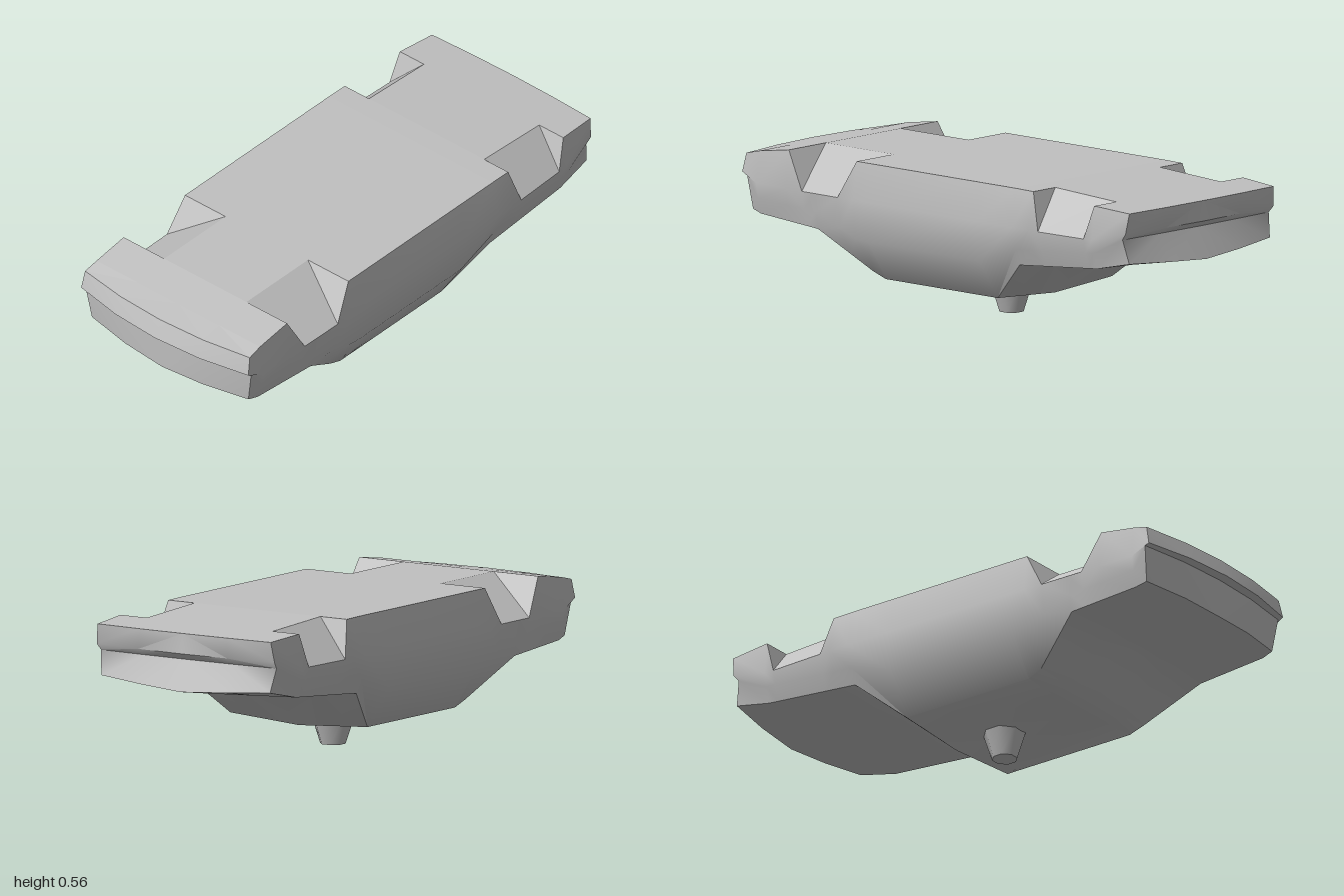
import * as THREE from 'three';
import { toCreasedNormals } from 'three/addons/utils/BufferGeometryUtils.js';

const { clamp, lerp } = THREE.MathUtils;

// End wall rows, roof side first: [half width, corner y, corner z, centre z, centre y]
const nose = [
  [0.38, 0.312, 0.915, 0.96, 0.298],
  [0.403, 0.445, 0.925, 0.962, 0.445],
  [0.406, 0.45, 0.945, 0.998, 0.45],
  [0.4, 0.52, 0.93, 0.972, 0.52],
];
const tail = [
  [0.375, 0.34, -0.965, -1, 0.315],
  [0.39, 0.43, -0.945, -0.955, 0.43],
  [0.395, 0.455, -0.965, -0.99, 0.455],
  [0.385, 0.53, -0.975, -0.985, 0.53],
];

// Bonnet, windscreen, roof and boot line: [z, centre y, corner x, shoulder y]
const roofline = [
  [0.87, 0.28, 0.385, 0.36],
  [0.58, 0.26, 0.39, 0.345],
  [0.38, 0.118, 0.31, 0.27],
  [0.32, 0.095, 0.305, 0.265],
  [-0.24, 0.095, 0.305, 0.265],
  [-0.42, 0.25, 0.38, 0.33],
  [-0.81, 0.285, 0.383, 0.365],
];

// Wheel notches: outer z pair, then the z pair of the lower edge
const notches = [[0.72, 0.38, 0.64, 0.46], [-0.505, -0.81, -0.55, -0.77]];
const inNotch = (z) => notches.some(([, , a, b]) => z <= a && z >= b);
const stations = [...new Set([...roofline.map((r) => r[0]), ...notches.flat()])].sort((a, b) => b - a);

// Half outline at z, from roof centre round to floor centre
function sectionRing(z) {
  const i = Math.max(1, roofline.findIndex((r) => r[0] <= z));
  const [p, q] = [roofline[i - 1], roofline[i]];
  const t = (z - p[0]) / (q[0] - p[0]);
  const [, y, cornerX, shoulderY] = p.map((v, j) => lerp(v, q[j], t));
  const sideX = 0.425 - (z + 0.45) * (z > -0.45 ? 0.011 : -0.04);
  const floorY = 0.557 - Math.max(0, z - 0.72) * 0.15 - Math.max(0, -0.48 - z) * 0.05;
  const side = [sideX, 0.415, z];
  return [
    [0, y, z], [cornerX / 2, y + 0.01, z], [cornerX, y + 0.02, z], [0.402, shoulderY, z], side,
    inNotch(z) ? side : [0.397, floorY, z],
    [0.24 - clamp(z / 0.3, -1, 1) * 0.04, floorY, z], [0, floorY, z],
  ];
}

// Point on a bowed end row at fraction f of its half width
const endPoint = ([x, y, zc, z0, y0], f) => [x * f, lerp(y0, y, f), lerp(z0, zc, f * f)];
const endRing = (rows) => [
  endPoint(rows[0], 0), endPoint(rows[0], 0.5), ...rows.map((r) => endPoint(r, 1)),
  endPoint(rows[3], 0.5), endPoint(rows[3], 0),
];

// Collects faces together with their mirror images
function collector() {
  const pos = [];
  const same = (p, q) => p.every((v, i) => Math.abs(v - q[i]) < 1e-6);
  const tri = (a, b, c) => {
    if (same(a, b) || same(b, c) || same(a, c)) return;
    pos.push(...a, ...b, ...c);
    for (const [x, y, z] of [a, c, b]) pos.push(-x, y, z);
  };
  const quad = (a, b, c, d, otherDiagonal = false) => {
    tri(a, b, otherDiagonal ? d : c);
    tri(otherDiagonal ? b : a, c, d);
  };
  const geometry = () => {
    const g = new THREE.BufferGeometry();
    g.setAttribute('position', new THREE.Float32BufferAttribute(pos, 3));
    g.computeVertexNormals();
    return g;
  };
  return { quad, geometry };
}

export function createModel() {
  const model = new THREE.Group();
  const grey = new THREE.MeshStandardMaterial({ color: 0xc0c0c0 });
  grey.name = 'grey';
  const add = (name, geometry) => {
    const mesh = new THREE.Mesh(geometry, grey);
    mesh.name = name;
    model.add(mesh);
    return mesh;
  };

  const rings = [endRing(nose), ...stations.map(sectionRing), endRing(tail)];
  const shell = collector();
  const floor = collector();

  // Sides and roof are smooth; the floor and wheel notches are faceted
  for (let i = 0; i < rings.length - 1; i++) {
    const [p, q] = [rings[i], rings[i + 1]];
    const entering = p[4] !== p[5] && q[4] === q[5];
    for (let k = 0; k < 7; k++) {
      (k < 5 ? shell : floor).quad(p[k], q[k], q[k + 1], p[k + 1], entering);
    }
  }

  // Bowed front and rear walls with their bumper lips
  for (const rows of [nose, tail]) {
    for (let r = 0; r < 3; r++) {
      for (const f of [0, 0.5]) {
        const corners = [
          endPoint(rows[r], f), endPoint(rows[r], f + 0.5),
          endPoint(rows[r + 1], f + 0.5), endPoint(rows[r + 1], f),
        ];
        if (rows === tail) corners.reverse();
        shell.quad(...corners);
      }
    }
  }
  add('bodyShell', toCreasedNormals(shell.geometry(), 0.95));
  add('floorWithWheelNotches', floor.geometry());

  // Tapered mounting stub under the roof
  const widen = 1 / Math.cos(Math.PI / 8);
  const stub = new THREE.CylinderGeometry(0.08 * widen, 0.044 * widen, 0.12, 8);
  stub.rotateY(Math.PI / 8);
  add('mountingStub', stub).position.set(0, 0.06, -0.022);

  return model;
}
